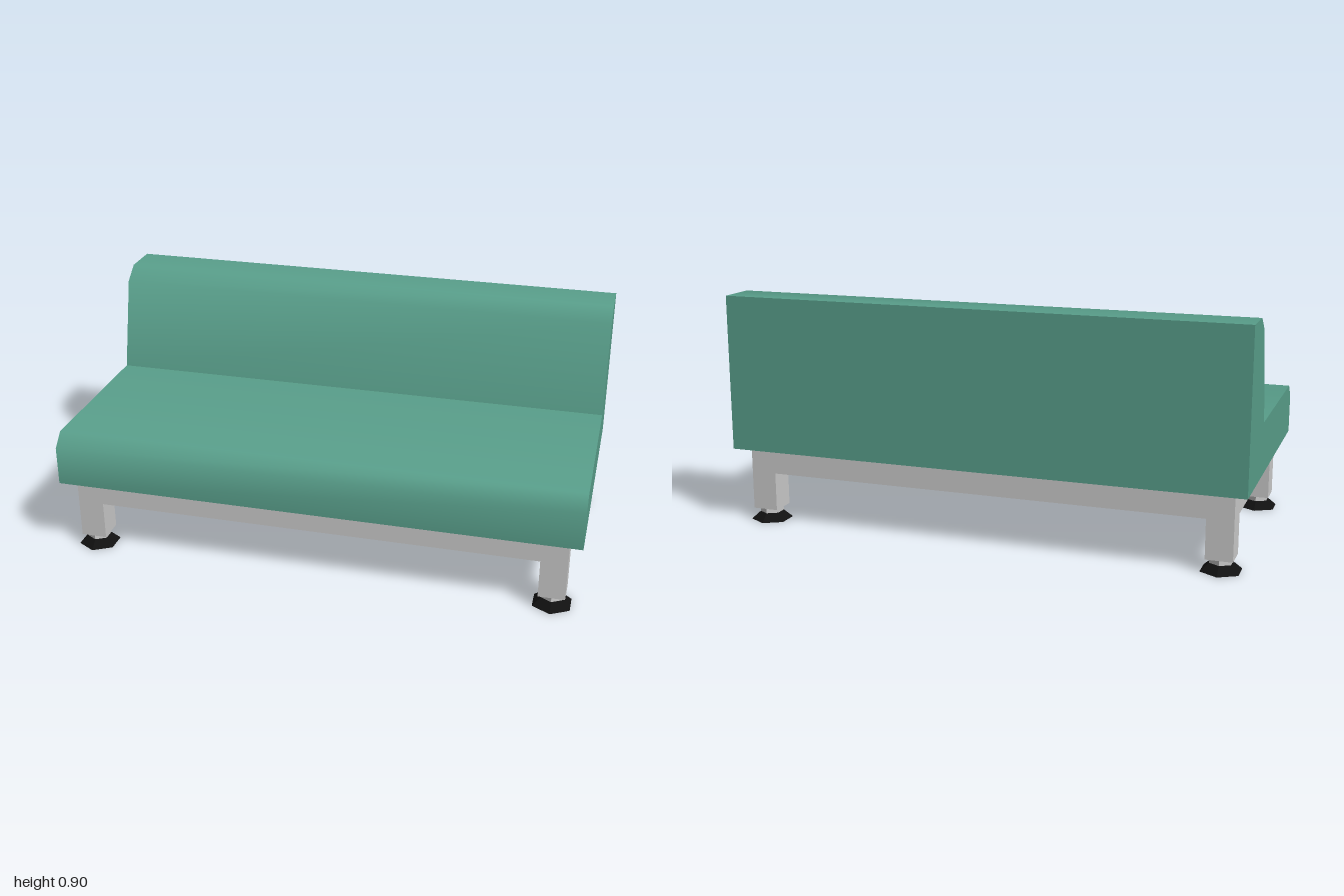
import * as THREE from 'three';
import { toCreasedNormals } from 'three/addons/utils/BufferGeometryUtils.js';

const green = new THREE.MeshStandardMaterial({ color: 0x599f8b });
const grey = new THREE.MeshStandardMaterial({ color: 0xcccccc, flatShading: true });
const black = new THREE.MeshStandardMaterial({ color: 0x111111, flatShading: true });

function part(name, geometry, material, x = 0, y = 0, z = 0) {
  const mesh = new THREE.Mesh(geometry, material);
  mesh.name = name;
  mesh.position.set(x, y, z);
  return mesh;
}

// Rectangle outline centred on (cx, cy)
function rect(path, cx, cy, w, h) {
  path.moveTo(cx - w / 2, cy - h / 2);
  path.lineTo(cx + w / 2, cy - h / 2);
  path.lineTo(cx + w / 2, cy + h / 2);
  path.lineTo(cx - w / 2, cy + h / 2);
  path.closePath();
  return path;
}

export function createModel() {
  const bench = new THREE.Group();
  bench.name = 'bench';

  // Upholstered seat and backrest: side profile (z, y) swept across the width
  const profile = new THREE.Shape([
    [0.5, 0.3], [0.5, 0.45], [0.45, 0.5], [-0.2, 0.5],
    [-0.287, 0.85], [-0.35, 0.9], [-0.5, 0.9], [-0.5, 0.3],
  ].map(([z, y]) => new THREE.Vector2(z, y)));
  const cushion = new THREE.ExtrudeGeometry(profile, { depth: 2, bevelEnabled: false });
  cushion.translate(0, 0, -1);
  cushion.rotateY(-Math.PI / 2);
  bench.add(part('seatAndBackrest', toCreasedNormals(cushion, THREE.MathUtils.degToRad(50)), green));

  // Frame of square beams with four openings
  const outline = rect(new THREE.Shape(), 0, 0, 1.9, 0.9);
  for (const sx of [-1, 1]) {
    for (const sz of [-1, 1]) outline.holes.push(rect(new THREE.Path(), sx * 0.45, sz * 0.2, 0.8, 0.3));
  }
  const frame = new THREE.ExtrudeGeometry(outline, { depth: 0.1, bevelEnabled: false });
  frame.rotateX(-Math.PI / 2);
  bench.add(part('frame', frame, grey, 0, 0.2, 0));

  // Legs with hexagonal levelling feet
  const legGeometry = new THREE.BoxGeometry(0.1, 0.15, 0.1);
  const neckGeometry = new THREE.CylinderGeometry(0.045, 0.045, 0.02, 6);
  const footGeometry = new THREE.CylinderGeometry(0.045, 0.08, 0.03, 6);
  for (const sx of [-1, 1]) {
    for (const sz of [-1, 1]) {
      const leg = new THREE.Group();
      leg.name = (sz > 0 ? 'front' : 'back') + (sx > 0 ? 'Left' : 'Right') + 'Leg';
      leg.position.set(sx * 0.9, 0, sz * 0.4);
      leg.add(
        part('post', legGeometry, grey, 0, 0.125, 0),
        part('footNeck', neckGeometry, grey, 0, 0.04, 0),
        part('footPad', footGeometry, black, 0, 0.015, 0),
      );
      bench.add(leg);
    }
  }
  return bench;
}
